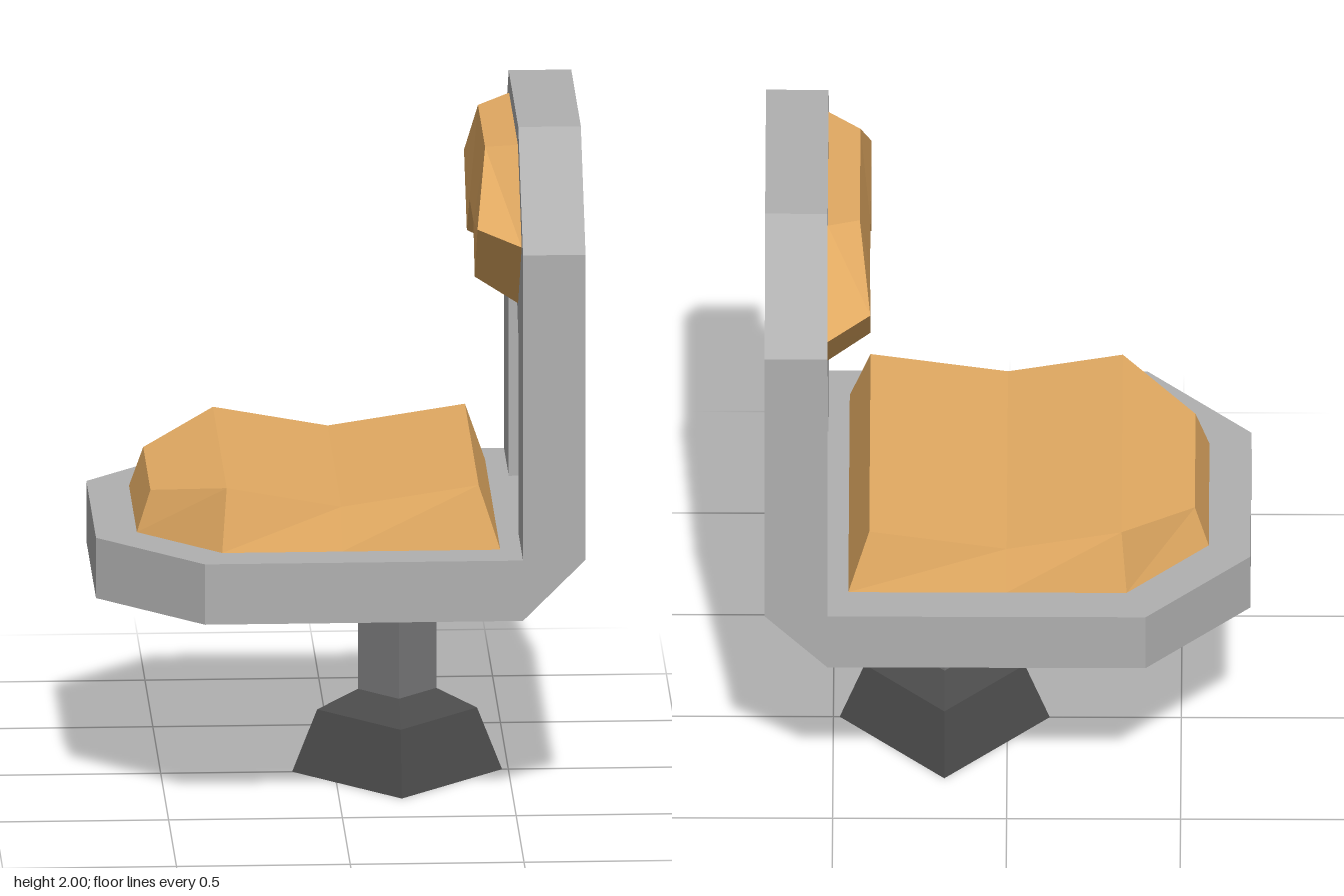
import * as THREE from 'three';

const paint = (name, color) => {
  const m = new THREE.MeshStandardMaterial({ color });
  m.name = name;
  return m;
};

// Polygon extruded along its local z
const extrude = (points, depth) => new THREE.ExtrudeGeometry(
  new THREE.Shape(points.map(([x, y]) => new THREE.Vector2(x, y))),
  { depth, bevelEnabled: false });

// Flat-faced loft through four-cornered cross-sections, closed at both ends
function loft(sections) {
  const out = [];
  const quad = (a, b, c, d) => [a, b, c, a, c, d].forEach((p) => out.push(...p));
  for (let s = 0; s < sections.length - 1; s++) {
    const a = sections[s], b = sections[s + 1];
    for (let i = 0; i < 4; i++) {
      const j = (i + 1) % 4;
      quad(a[i], b[i], b[j], a[j]);
    }
  }
  quad(...sections[0]);
  quad(...[...sections[sections.length - 1]].reverse());
  const g = new THREE.BufferGeometry();
  g.setAttribute('position', new THREE.Float32BufferAttribute(out, 3));
  g.computeVertexNormals();
  return g;
}

// Four-sided column with corners on the axes, between two heights
function column(rTop, rBottom, y0, y1) {
  const g = new THREE.CylinderGeometry(rTop, rBottom, y1 - y0, 4).toNonIndexed();
  g.computeVertexNormals();
  return g.translate(0.18, (y0 + y1) / 2, 0);
}

export function createModel() {
  const shell = paint('light grey shell', 0xb0b0b0);
  const metal = paint('grey post', 0x79797a);
  const foot = paint('dark grey base', 0x4b4b4b);
  const fabric = paint('orange cushion', 0xe2aa62);

  const model = new THREE.Group();
  model.name = 'chair';
  const add = (name, geometry, material) => {
    const mesh = new THREE.Mesh(geometry, material);
    mesh.name = name;
    model.add(mesh);
  };

  // Pedestal
  add('baseFoot', column(0.23, 0.302, 0, 0.185), foot);
  add('baseCollar', column(0.113, 0.23, 0.185, 0.245), foot);
  add('post', column(0.113, 0.113, 0.245, 0.61), metal);

  // Seat plate with clipped front corners
  const w = 0.605;
  add('seatPlate', extrude([
    [-0.7, -0.305], [-0.4, -w], [0.515, -w], [0.515, w], [-0.4, w], [-0.7, 0.305],
  ], 0.18).rotateX(-Math.PI / 2).translate(0, 0.61, 0), shell);

  // Bevelled corner joining seat and backrest
  add('seatCorner', extrude([[0.515, 0.61], [0.695, 0.79], [0.515, 0.79]], 2 * w)
    .translate(0, 0, -w), shell);

  // Arched backrest with an open middle
  const half = [[0.305, 0.79], [w, 0.79], [w, 1.7], [0.305, 2]];
  const hole = [[-0.305, 1.38], [-0.108, 1.582], [0.108, 1.582], [0.305, 1.38]];
  const mirrored = half.map(([x, y]) => [-x, y]).reverse();
  add('backrest', extrude([...half, ...mirrored, ...hole], 0.18)
    .rotateY(Math.PI / 2).translate(0.515, 0, 0), shell);

  // Seat cushion: bottom x, bottom half width, top x, top y, top half width
  add('seatCushion', loft([
    [-0.58, 0.25, -0.54, 0.91, 0.23],
    [-0.345, 0.485, -0.33, 0.97, 0.437],
    [0, 0.485, 0, 0.91, 0.437],
    [0.455, 0.485, 0.395, 0.97, 0.437],
  ].map(([bx, bz, tx, ty, tz]) =>
    [[bx, 0.79, bz], [tx, ty, tz], [tx, ty, -tz], [bx, 0.79, -bz]])), fabric);

  // Head cushion bent around the top of the arch
  const low = (s) => [[0.392, 1.54, 0.25 * s], [0.392, 1.73, 0.43 * s],
    [0.515, 1.7, 0.52 * s], [0.515, 1.47, 0.29 * s]];
  const high = (s) => [[0.394, 1.67, 0.12 * s], [0.423, 1.92, 0.225 * s],
    [0.515, 1.94, 0.28 * s], [0.515, 1.61, 0.15 * s]];
  add('headCushion', loft([low(-1), high(-1), high(1), low(1)]), fabric);

  return model;
}
